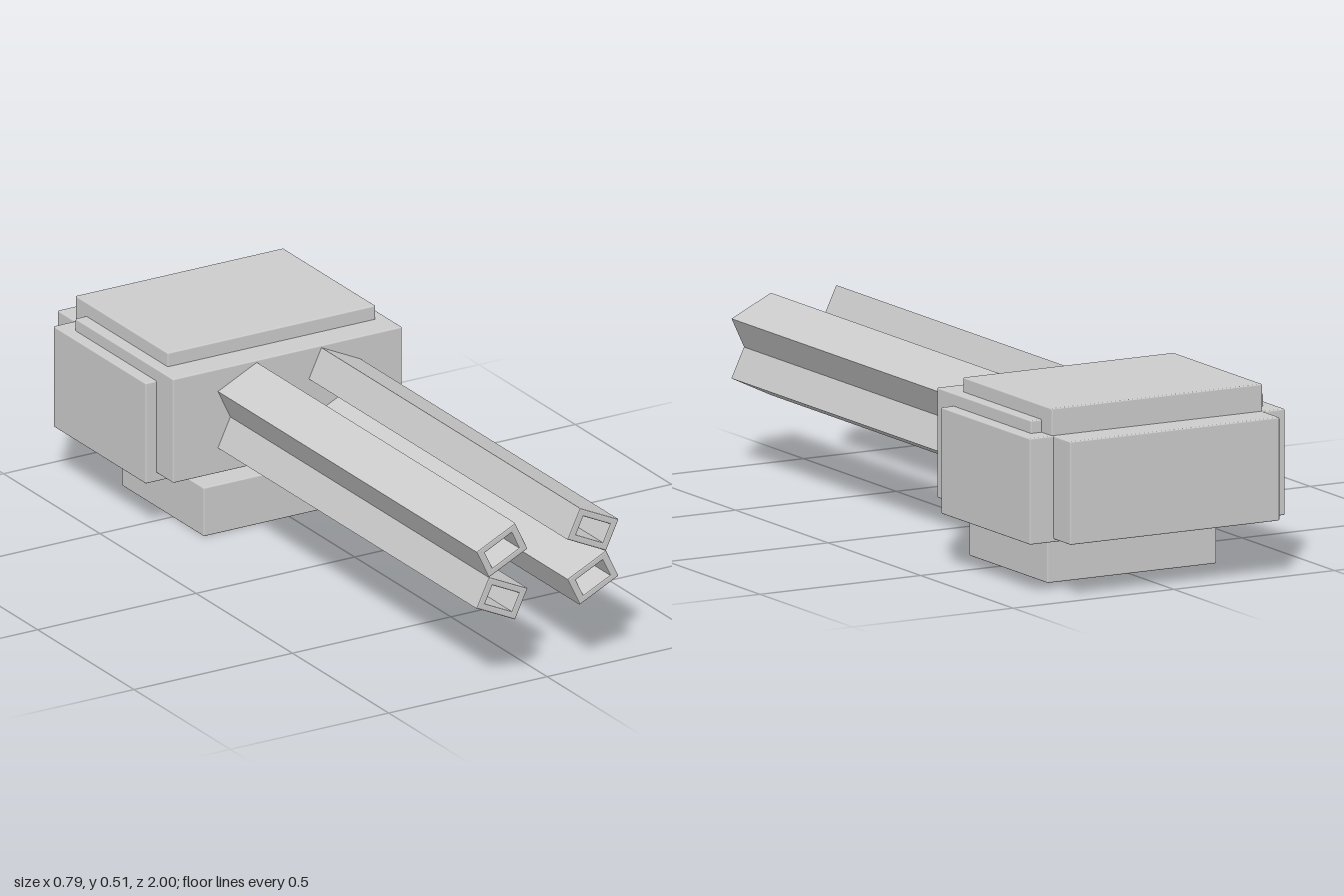
import * as THREE from 'three';
import { RoundedBoxGeometry } from 'three/addons/geometries/RoundedBoxGeometry.js';

const BEVEL = 0.004;

// Rectangle outline centred on the origin
function rectangle(PathType, w, h) {
  const path = new PathType();
  path.moveTo(-w / 2, -h / 2);
  path.lineTo(w / 2, -h / 2);
  path.lineTo(w / 2, h / 2);
  path.lineTo(-w / 2, h / 2);
  path.closePath();
  return path;
}

export function createModel() {
  const model = new THREE.Group();
  model.name = 'fourBarrelTurret';
  const grey = new THREE.MeshStandardMaterial({ color: 0xcccccc });
  grey.name = 'light grey';

  // Softly edged block given by its extents on each axis
  function block(name, [x0, x1], [y0, y1], [z0, z1]) {
    const geometry = new RoundedBoxGeometry(x1 - x0, y1 - y0, z1 - z0, 2, BEVEL);
    const mesh = new THREE.Mesh(geometry, grey);
    mesh.name = name;
    mesh.position.set((x0 + x1) / 2, (y0 + y1) / 2, (z0 + z1) / 2);
    model.add(mesh);
  }

  // Housing, armour layers and mount
  block('housing', [-0.364, 0.359], [0.172, 0.475], [-0.852, -0.343]);
  block('sideArmour', [-0.398, 0.396], [0.147, 0.44], [-0.91, -0.43]);
  block('topArmour', [-0.33, 0.326], [0.42, 0.515], [-0.907, -0.427]);
  block('rearArmour', [-0.33, 0.322], [0.155, 0.44], [-1, -0.9]);
  block('mount', [-0.272, 0.255], [0, 0.142], [-0.76, -0.335]);

  // Hollow rectangular barrels, tilted in mirrored pairs
  const section = rectangle(THREE.Shape, 0.136, 0.092);
  section.holes.push(rectangle(THREE.Path, 0.093, 0.054));
  const back = -0.36, front = 1;
  const barrelGeometry = new THREE.ExtrudeGeometry(section, {
    depth: front - back - 2 * BEVEL,
    bevelThickness: BEVEL,
    bevelSize: BEVEL,
    bevelOffset: -BEVEL,
    bevelSegments: 2,
  });
  barrelGeometry.translate(0, 0, back + BEVEL);

  for (const side of [-1, 1]) {
    for (const level of [-1, 1]) {
      const barrel = new THREE.Mesh(barrelGeometry, grey);
      barrel.name = `${level > 0 ? 'upper' : 'lower'}${side > 0 ? 'Left' : 'Right'}Barrel`;
      barrel.position.set(0.002 + side * 0.1435, 0.3275 + level * 0.07, 0);
      barrel.rotation.z = -side * level * THREE.MathUtils.degToRad(25.5);
      model.add(barrel);
    }
  }
  return model;
}
